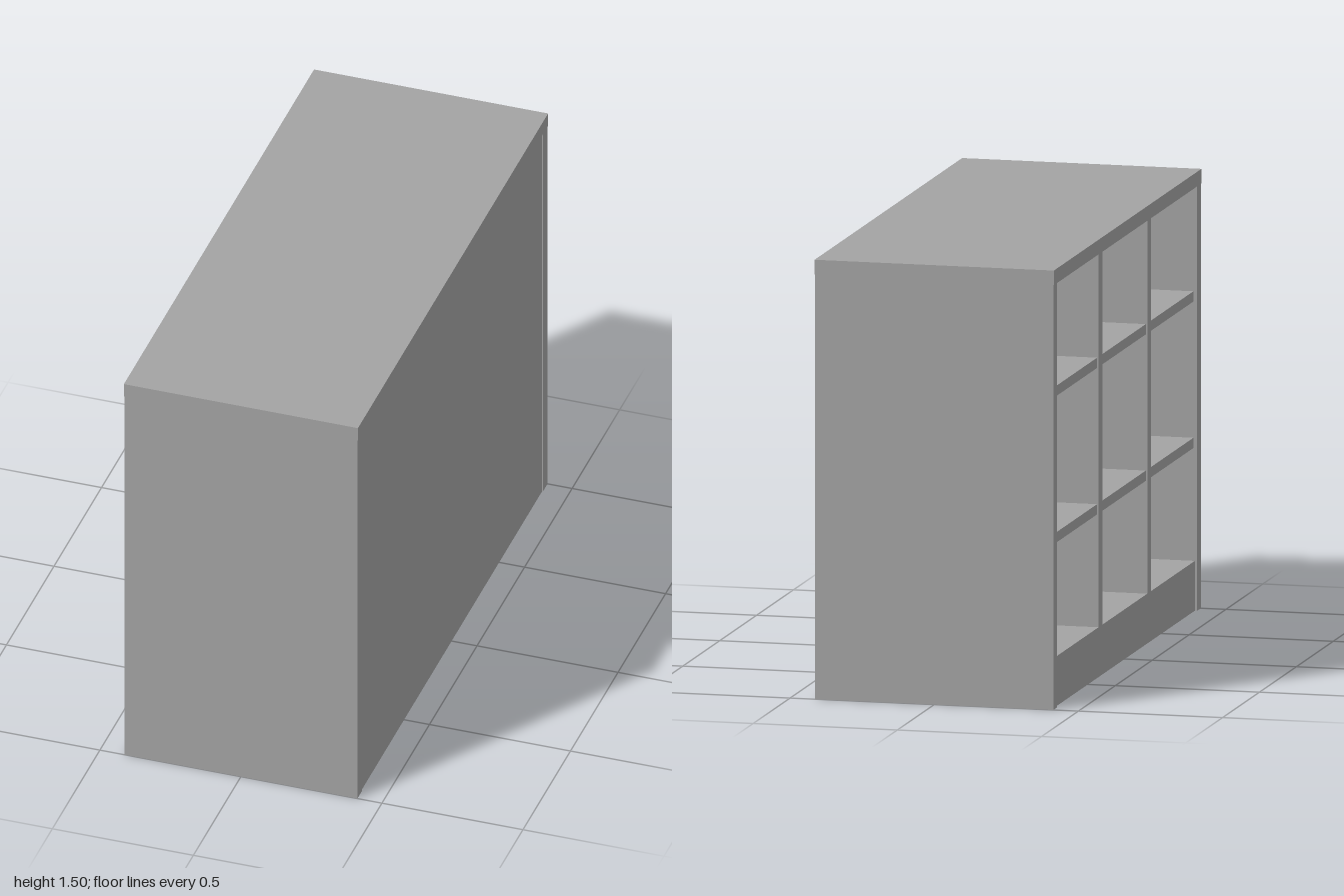
import * as THREE from 'three';

export function createModel() {
  const group = new THREE.Group();
  const panelGrey = new THREE.MeshStandardMaterial({ color: 0xa3a3a3 });

  // Box panel given by its extents along each axis
  function panel(name, [x0, x1], [y0, y1], [z0, z1]) {
    const mesh = new THREE.Mesh(new THREE.BoxGeometry(x1 - x0, y1 - y0, z1 - z0), panelGrey);
    mesh.position.set((x0 + x1) / 2, (y0 + y1) / 2, (z0 + z1) / 2);
    mesh.name = name;
    group.add(mesh);
  }

  const thick = 0.05, half = 0.415, inner = 0.95;
  const topY = 1.45, deckY = 0.17, dividerZ = 0.33;
  const openX = -0.405, closedX = 0.41, backX = 0.38;

  // Carcass: worktop, end panels, solid plinth and closed side
  panel('top', [-half, half], [topY, 1.5], [-1, 1]);
  for (const s of [-1, 1]) {
    const ends = [s * inner, s].sort((a, b) => a - b);
    panel(s > 0 ? 'frontEndPanel' : 'backEndPanel', [-0.413, 0.413], [0, topY], ends);
  }
  panel('plinth', [openX, closedX], [0, deckY], [-inner, inner]);
  panel('closedSidePanel', [backX, closedX], [deckY, topY], [-inner, inner]);

  // Two upright dividers
  for (const z of [-dividerZ, dividerZ]) {
    panel('divider', [openX, backX], [deckY, topY], [z - thick / 2, z + thick / 2]);
  }

  // Two shelves in each of the three bays
  const inset = dividerZ + thick / 2;
  const bays = [[-inner, -inset], [-inset + thick, inset - thick], [inset, inner]];
  for (const bay of bays) {
    for (const y of [0.59, 1.09]) {
      panel('shelf', [openX + 0.005, backX], [y - 0.035, y], bay);
    }
  }
  return group;
}
